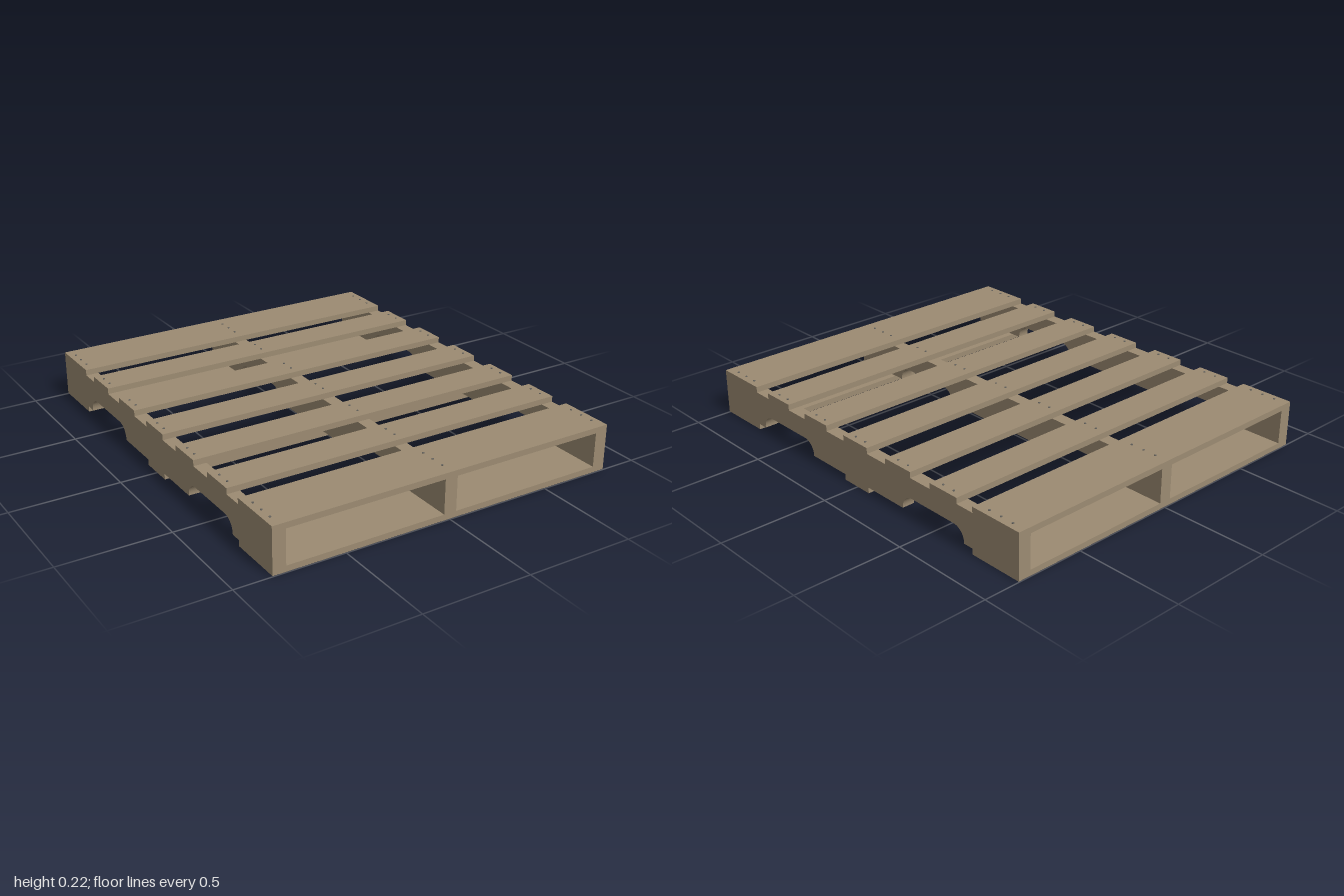
import * as THREE from 'three';

export function createModel() {
  const group = new THREE.Group();
  group.name = 'pallet';
  const wood = new THREE.MeshStandardMaterial({ color: 0x9c8b72 });
  wood.name = 'weathered wood';
  const steel = new THREE.MeshStandardMaterial({ color: 0x66645f });
  steel.name = 'nail steel';

  const add = (name, geometry, material, x, y, z) => {
    const mesh = new THREE.Mesh(geometry, material);
    mesh.name = name;
    mesh.position.set(x, y, z);
    group.add(mesh);
    return mesh;
  };

  const stringerX = [-0.8, 0, 0.8];
  const thick = 0.027, low = 0.003, deckY = 0.19, baseY = low + thick;

  // Stringers: side outline with two round-cornered fork notches
  const side = new THREE.Shape();
  const r = 0.063, notchTop = 0.096;
  side.moveTo(-1, baseY);
  for (const c of [-0.5, 0.5]) {
    side.lineTo(c - 0.19, baseY);
    side.lineTo(c - 0.19, notchTop - r);
    side.absarc(c - 0.19 + r, notchTop - r, r, Math.PI, Math.PI / 2, true);
    side.absarc(c + 0.19 - r, notchTop - r, r, Math.PI / 2, 0, true);
    side.lineTo(c + 0.19, baseY);
  }
  side.lineTo(1, baseY);
  side.lineTo(1, deckY);
  side.lineTo(-1, deckY);
  side.closePath();
  const stringer = new THREE.ExtrudeGeometry(side, { depth: 0.06, bevelEnabled: false, curveSegments: 8 });
  stringer.translate(0, 0, -0.03);
  stringer.rotateY(-Math.PI / 2);
  for (const x of stringerX) add('stringer', stringer, wood, x, 0, 0);

  // Nail heads stand slightly proud of the boards over each stringer
  const nail = new THREE.CylinderGeometry(0.005, 0.005, 0.006, 10);
  const addBoard = (name, z, width, bottom, nailY) => {
    add(name, new THREE.BoxGeometry(1.66, thick, width), wood, 0, bottom + thick / 2, z);
    const offsets = width > 0.2 ? [-0.065, 0, 0.065] : [-0.032, 0.032];
    for (const x of stringerX) {
      for (const dz of offsets) add('nailHead', nail, steel, x, nailY, z + dz);
    }
  };

  // Seven deck boards, wide at both ends
  for (const z of [-0.87, -0.567, -0.284, 0, 0.284, 0.567, 0.87]) {
    addBoard('deckBoard', z, Math.abs(z) > 0.8 ? 0.26 : 0.162, deckY, deckY + thick);
  }
  // Three base boards
  for (const z of [-0.87, 0, 0.87]) {
    addBoard('baseBoard', z, z ? 0.26 : 0.162, low, low);
  }
  return group;
}
